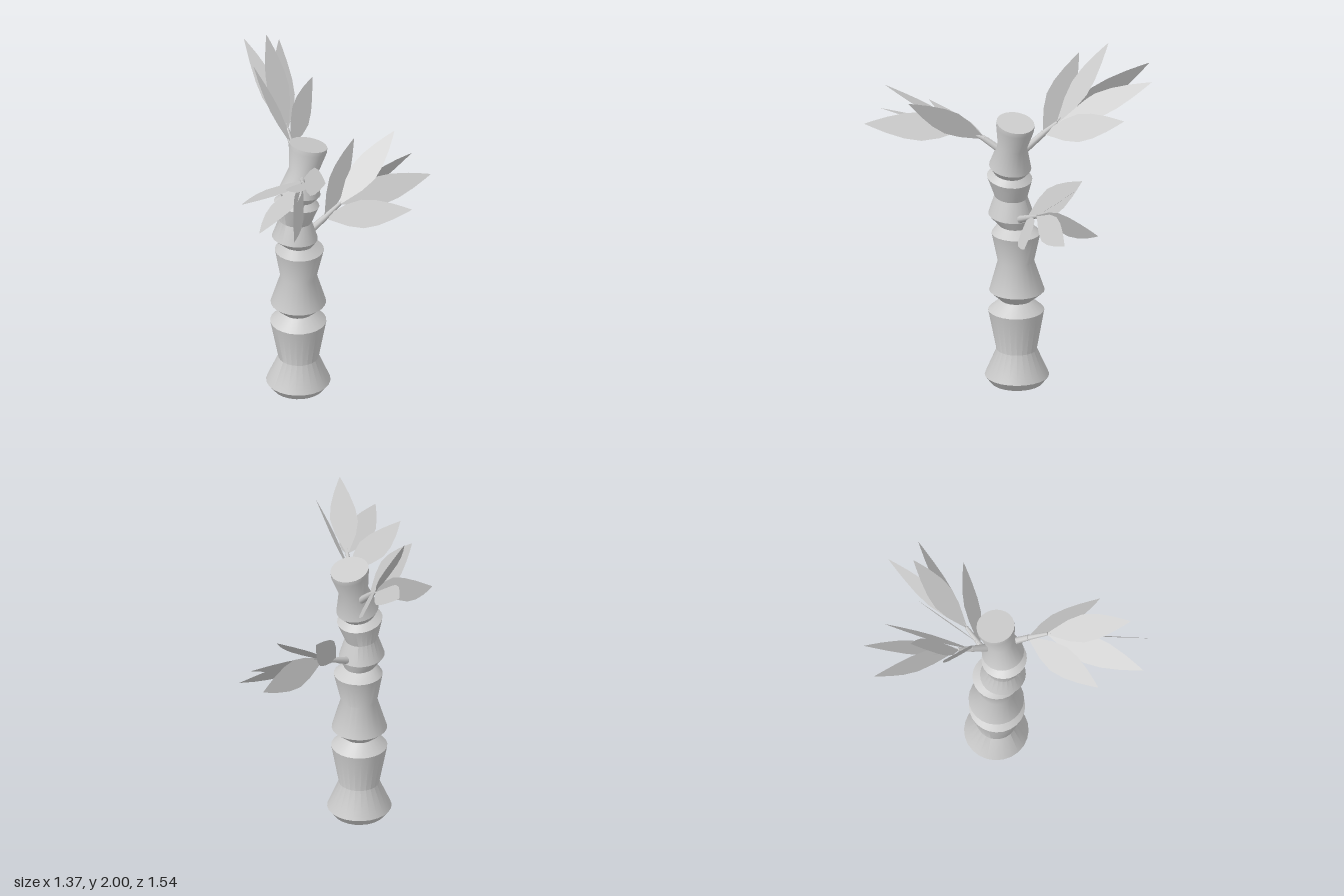
import * as THREE from 'three';
import { toCreasedNormals } from 'three/addons/utils/BufferGeometryUtils.js';

const stalkMaterial = new THREE.MeshStandardMaterial({ color: 0xcccccc });
const leafMaterial = new THREE.MeshStandardMaterial({ color: 0xcccccc, side: THREE.DoubleSide });
const vec = (p) => new THREE.Vector3(...p);

function indexed(positions, index) {
  const g = new THREE.BufferGeometry();
  g.setAttribute('position', new THREE.Float32BufferAttribute(positions, 3));
  g.setIndex(index);
  g.computeVertexNormals();
  return g;
}

// Stalk rings: height, centre x, centre z, radius, backward tilt
const RINGS = [
  [0, 0.035, 0.08, 0, 0], [0, 0.035, 0.08, 0.145, 0], [0.045, 0.035, 0.08, 0.18, 0],
  [0.2, 0.037, 0.08, 0.113, 0], [0.435, 0.038, 0.083, 0.157, 0], [0.495, 0.037, 0.083, 0.088, 0],
  [0.555, 0.035, 0.08, 0.155, 0], [0.73, 0.04, 0.083, 0.102, 0], [0.9, 0.042, 0.078, 0.137, 0],
  [0.945, 0.045, 0.095, 0.088, 0.08], [1.0, 0.05, 0.118, 0.128, 0.1], [1.11, 0.052, 0.117, 0.092, 0.12],
  [1.225, 0.062, 0.115, 0.127, 0.18], [1.255, 0.065, 0.108, 0.09, 0.18], [1.295, 0.067, 0.1, 0.118, 0.2],
  [1.43, 0.07, 0.07, 0.082, 0.22], [1.55, 0.07, 0.04, 0.106, 0.24], [1.578, 0.07, 0.036, 0.106, 0.24],
  [1.578, 0.07, 0.036, 0, 0.24],
];

function stalkGeometry(sides = 24) {
  const pos = [], index = [];
  RINGS.forEach(([y, cx, cz, r, tilt], i) => {
    for (let j = 0; j < sides; j++) {
      const a = (j / sides) * Math.PI * 2;
      const z = r * Math.sin(a);
      pos.push(cx + r * Math.cos(a), y + tilt * z, cz + z);
      if (i === RINGS.length - 1) continue;
      const a0 = i * sides + j, a1 = i * sides + ((j + 1) % sides);
      index.push(a0, a0 + sides, a1, a1, a0 + sides, a1 + sides);
    }
  });
  return toCreasedNormals(indexed(pos, index), 0.6);
}

// Leaf outline: position along the blade, half width
const OUTLINE = [[0, 0.006], [0.1, 0.028], [0.25, 0.06], [0.43, 0.08], [0.6, 0.071], [0.78, 0.045], [0.92, 0.018], [1, 0.001]];

// Flat blade from base to tip, spread along the across direction
function leafGeometry(base, tip, across) {
  const dir = tip.clone().sub(base);
  across.projectOnPlane(dir.clone().normalize()).normalize();
  const pos = [], index = [];
  OUTLINE.forEach(([t, w], i) => {
    for (const s of [-1, 1]) {
      pos.push(...base.clone().addScaledVector(dir, t).addScaledVector(across, s * w).toArray());
    }
    const k = 2 * i;
    if (i < OUTLINE.length - 1) index.push(k, k + 1, k + 2, k + 1, k + 3, k + 2);
  });
  return indexed(pos, index);
}

// Tapered stem piece between two points
function stem(from, to, r0, r1) {
  const d = to.clone().sub(from);
  const m = new THREE.Mesh(new THREE.CylinderGeometry(r1, r0, d.length(), 8), stalkMaterial);
  m.position.copy(from).addScaledVector(d, 0.5);
  m.quaternion.setFromUnitVectors(new THREE.Vector3(0, 1, 0), d.normalize());
  m.name = 'stem';
  return m;
}

// Each branch: stem points, then leaves as [tip, across direction];
// lower leaves grow from the joint, end leaves from the top of the stem
const BRANCHES = [
  {
    name: 'rightBranch',
    path: [[0.02, 1.38, 0.06], [-0.1, 1.49, 0.015], [-0.17, 1.55, -0.015]],
    lower: [[[-0.385, 1.64, -0.38], [-0.3, 0.93, 0.57]], [[-0.36, 1.9, 0.07], [0.8, 0.53, 0.25]]],
    end: [
      [[-0.69, 1.845, -0.14], [0.42, 0.83, -0.15]],
      [[-0.6, 1.81, -0.32], [-0.2, 0.45, 0.65]],
      [[-0.45, 2.0, -0.1], [0, 0.19, 1]],
    ],
  },
  {
    name: 'frontLeftBranch',
    path: [[0.1, 1.38, 0.1], [0.19, 1.46, 0.18], [0.27, 1.51, 0.25]],
    lower: [[[0.25, 1.53, 0.68], [0.95, 0.3, -0.16]], [[0.58, 1.69, 0.345], [-0.32, 0.87, -0.48]]],
    end: [
      [[0.68, 1.48, 0.66], [-0.22, 0.95, 0.22]],
      [[0.51, 1.5, 0.77], [0.9, 0.3, -0.42]],
      [[0.6, 1.73, 0.57], [0.7, 0.2, -0.72]],
    ],
  },
  {
    name: 'backBranch',
    path: [[0.06, 1.0, 0.02], [0.065, 1.05, -0.09], [0.068, 1.1, -0.2]],
    lower: [[[0.33, 1.06, -0.5], [-0.5, 0.8, -0.3]], [[-0.085, 1.36, -0.43], [-0.06, 0.77, 0.72]]],
    end: [
      [[0.01, 1.17, -0.77], [0.35, 0.9, 0.07]],
      [[0.21, 1.14, -0.74], [-0.55, 0.83, -0.1]],
      [[0.05, 1.4, -0.61], [1, -0.25, -0.2]],
    ],
  },
];

function buildBranch({ name, path, lower, end }) {
  const branch = new THREE.Group();
  branch.name = name;
  const [root, joint, top] = path.map(vec);
  branch.add(stem(root, joint, 0.022, 0.017), stem(joint, top, 0.016, 0.01));

  [...lower, ...end].forEach(([tip, across], i) => {
    const base = i < lower.length ? joint : top;
    const leaf = new THREE.Mesh(leafGeometry(base, vec(tip), vec(across)), leafMaterial);
    leaf.name = 'leaf';
    branch.add(leaf);
  });
  return branch;
}

export function createModel() {
  const model = new THREE.Group();
  model.name = 'bamboo';
  const stalk = new THREE.Mesh(stalkGeometry(), stalkMaterial);
  stalk.name = 'stalk';
  model.add(stalk, ...BRANCHES.map(buildBranch));
  return model;
}
